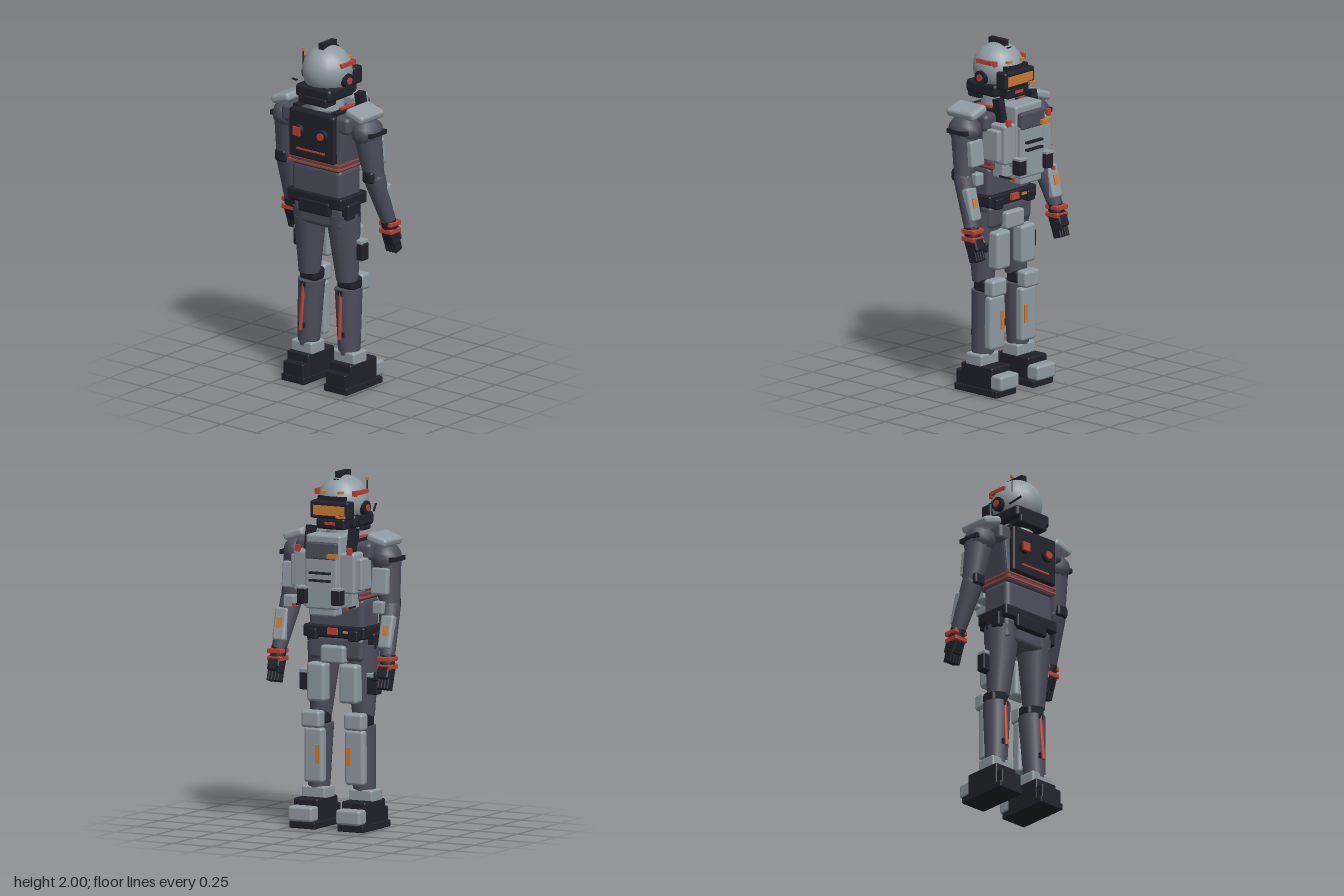
import * as THREE from 'three';
import { RoundedBoxGeometry } from 'three/addons/geometries/RoundedBoxGeometry.js';

const mat = (name, color) => {
  const m = new THREE.MeshStandardMaterial({ color });
  m.name = name;
  return m;
};

export function createModel() {
  const shell = mat('shellGrey', 0x8f9aa2);
  const suit = mat('suitGrey', 0x4b4d5b);
  const dark = mat('darkRubber', 0x20212b);
  const red = mat('signalRed', 0xb84233);
  const orange = mat('amber', 0xcc7a30);

  const model = new THREE.Group();
  model.name = 'armouredSuit';
  let target = model;
  const V = (x, y, z) => new THREE.Vector3(x, y, z);
  const add = (name, geo, m) => {
    const mesh = new THREE.Mesh(geo, m);
    mesh.name = name;
    target.add(mesh);
    return mesh;
  };
  // Box given by its extents; r rounds the edges
  const box = (name, m, [x0, x1], [y0, y1], [z0, z1], r = 0) => {
    const s = [x1 - x0, y1 - y0, Math.abs(z1 - z0)];
    const mesh = add(name, r ? new RoundedBoxGeometry(...s, 2, r) : new THREE.BoxGeometry(...s), m);
    mesh.position.set((x0 + x1) / 2, (y0 + y1) / 2, (z0 + z1) / 2);
    return mesh;
  };
  // Tapered cylinder from a to b
  const limb = (name, m, a, b, ra, rb, sides = 16) => {
    const d = b.clone().sub(a);
    const mesh = add(name, new THREE.CylinderGeometry(rb, ra, d.length(), sides), m);
    mesh.position.copy(a).add(b).multiplyScalar(0.5);
    mesh.quaternion.setFromUnitVectors(V(0, 1, 0), d.normalize());
    return mesh;
  };
  // Box whose lower end is scaled towards its centre
  const taper = (name, m, xs, ys, zs, kx, kz) => {
    const mesh = box(name, m, xs, ys, zs, 0.03);
    const p = mesh.geometry.attributes.position, h = ys[1] - ys[0];
    for (let i = 0; i < p.count; i++) {
      const t = 0.5 - p.getY(i) / h;
      p.setX(i, p.getX(i) * (1 + (kx - 1) * t));
      p.setZ(i, p.getZ(i) * (1 + (kz - 1) * t));
    }
    mesh.geometry.computeVertexNormals();
    return mesh;
  };
  const part = (name, build) => {
    const g = new THREE.Group();
    g.name = name;
    model.add(g);
    target = g;
    build();
    target = model;
  };
  const bothSides = (fn) => [1, -1].forEach((s) => fn(s, (a, b) => [s * a, s * b]));

  part('head', () => {
    add('helmet', new THREE.SphereGeometry(0.143, 18, 14), shell).position.set(-0.058, 1.836, 0);
    box('crest', dark, [-0.117, 0.003], [1.965, 2], [-0.017, 0.017]);
    limb('neckCollar', shell, V(-0.06, 1.59, 0), V(-0.06, 1.69, 0), 0.1, 0.09);
    box('jawGuard', dark, [-0.195, 0.03], [1.69, 1.765], [-0.125, 0.125], 0.02);
    box('backRim', dark, [-0.2, -0.1], [1.66, 1.71], [-0.1, 0.1], 0.01);
    // Visor with amber lens
    box('visorFrame', dark, [0.03, 0.105], [1.745, 1.845], [-0.122, 0.122], 0.012);
    box('visorLens', orange, [0.1, 0.109], [1.765, 1.82], [-0.1, 0.1]);
    box('brow', dark, [0.03, 0.085], [1.845, 1.87], [-0.085, 0.085]);
    box('respirator', dark, [0.02, 0.095], [1.685, 1.75], [-0.09, 0.09], 0.015);
    box('mouthLight', red, [0.09, 0.1], [1.712, 1.728], [-0.032, 0.032]);
    box('visorLamp', orange, [0.115, 0.127], [1.755, 1.768], [-0.11, -0.055]);
    box('lampMount', dark, [0.09, 0.115], [1.75, 1.77], [-0.1, -0.065]);
    bothSides((s, z) => {
      limb('earCup', dark, V(-0.058, 1.8, s * 0.12), V(-0.058, 1.8, s * 0.155), 0.04, 0.04, 12);
      limb('earLight', red, V(-0.058, 1.8, s * 0.15), V(-0.058, 1.8, s * 0.162), 0.02, 0.02, 12);
      box('sideStripe', red, [-0.1, 0.01], [1.877, 1.9], z(0.115, 0.138));
      box('sideMarker', red, [0.015, 0.03], [1.87, 1.9], z(0.105, 0.132));
      box('browLight', orange, [0.055, 0.08], [1.885, 1.898], z(0.038, 0.068));
      box('crestClip', dark, [0.018, 0.024], [1.955, 1.962], z(0.002, 0.016));
    });
    // Antenna and rear rod on one side
    limb('antenna', dark, V(-0.137, 1.82, -0.11), V(-0.137, 1.95, -0.11), 0.004, 0.004, 8);
    add('antennaTip', new THREE.BoxGeometry(0.015, 0.015, 0.015), orange).position.set(-0.137, 1.952, -0.11);
    limb('rearRod', dark, V(-0.222, 1.8, -0.118), V(-0.152, 1.77, -0.143), 0.006, 0.006, 8);
  });

  part('torso', () => {
    taper('chestBody', suit, [-0.18, 0.065], [1.28, 1.62], [-0.215, 0.215], 0.97, 0.8);
    box('shoulderYoke', suit, [-0.18, 0.065], [1.52, 1.62], [-0.24, 0.24], 0.025);
    box('abdomen', suit, [-0.165, 0.03], [1.1, 1.3], [-0.175, 0.175], 0.03);
    [1.308, 1.336].forEach((y) => box('waistPiping', red, [-0.184, 0.066], [y - 0.005, y + 0.005], [-0.181, 0.181]));
    // Layered chest armour
    box('chestPlate', shell, [0.055, 0.175], [1.31, 1.665], [-0.11, 0.11], 0.015);
    box('breastPlate', shell, [0.15, 0.2], [1.25, 1.55], [-0.1, 0.1], 0.012);
    box('upperChestPanel', suit, [0.15, 0.205], [1.53, 1.625], [-0.097, 0.097], 0.01);
    box('bellyPlate', shell, [0.1, 0.19], [1.21, 1.32], [-0.085, 0.085], 0.012);
    box('nameBar', orange, [0.204, 0.227], [1.54, 1.566], [-0.115, -0.052]);
    [1.455, 1.412].forEach((y) => box('ventSlot', dark, [0.19, 0.222], [y - 0.006, y + 0.006], [-0.065, 0.065]));
    bothSides((s, z) => {
      box('sidePlate', shell, [0.03, 0.168], [1.34, 1.57], z(0.1, 0.195), 0.015);
      box('flankPlate', shell, [0.02, 0.14], [1.36, 1.54], z(0.18, 0.225), 0.01);
      box('lowerRib', shell, [0.04, 0.12], [1.25, 1.34], z(0.08, 0.16), 0.01);
      box('chestPouch', dark, [0.17, 0.23], [1.28, 1.365], z(0.08, 0.138), 0.006);
      box('pouchLid', shell, [0.17, 0.235], [1.365, 1.376], z(0.078, 0.14));
      box('collarLight', red, [0.155, 0.174], [1.56, 1.6], z(0.15, 0.178));
      box('hipMarker', red, [0.198, 0.212], [1.255, 1.275], z(0.158, 0.175));
      box('markerArm', dark, [0.1, 0.198], [1.26, 1.27], z(0.163, 0.17));
      box('shoulderStrap', dark, [0.05, 0.1], [1.56, 1.7], z(0.113, 0.157)).rotation.z = 0.2;
      box('strapBack', dark, [-0.17, 0.06], [1.61, 1.635], z(0.115, 0.155));
      box('sideStripe', red, [-0.1, 0.01], [1.625, 1.645], z(0.115, 0.14));
    });
    // Backpack with two controls
    box('backpack', dark, [-0.205, -0.13], [1.34, 1.62], [-0.162, 0.162], 0.015);
    bothSides((s, z) => {
      limb('packSocket', dark, V(-0.2, 1.5, s * 0.085), V(-0.225, 1.5, s * 0.085), 0.038, 0.034, 12);
      if (s > 0) limb('packKnob', red, V(-0.22, 1.5, 0.085), V(-0.234, 1.5, 0.085), 0.022, 0.022, 12);
      else box('packSwitch', red, [-0.234, -0.22], [1.475, 1.525], z(0.06, 0.11));
    });
    box('packLatch', red, [-0.212, -0.2], [1.39, 1.4], [-0.1, 0.1]);
  });

  part('hips', () => {
    box('pelvis', suit, [-0.155, 0.04], [0.94, 1.08], [-0.175, 0.175], 0.03);
    box('belt', dark, [-0.18, 0.055], [1.07, 1.14], [-0.195, 0.195], 0.012);
    box('buckle', red, [0.05, 0.072], [1.092, 1.128], [-0.03, 0.03]);
    box('beltLight', orange, [0.05, 0.065], [1.102, 1.115], [-0.1, -0.065]);
    box('groinPlate', shell, [0.0, 0.075], [0.93, 1.03], [-0.075, 0.075], 0.015);
    box('rearPouch', dark, [-0.186, -0.12], [1.02, 1.1], [-0.11, 0.11], 0.01);
    bothSides((s, z) => {
      box('beltPouch', dark, [-0.14, -0.03], [1.01, 1.1], z(0.16, 0.215), 0.01);
      box('frontPouch', dark, [0.02, 0.075], [1.06, 1.12], z(0.1, 0.16), 0.008);
    });
  });

  bothSides((s, z) => part(s > 0 ? 'armNear' : 'armFar', () => {
    const shoulder = V(-0.055, 1.53, s * 0.28), elbow = V(-0.03, 1.26, s * 0.312), wrist = V(0.055, 0.99, s * 0.345);
    const ball = add('shoulderJoint', new THREE.SphereGeometry(0.095, 10, 8), suit);
    ball.position.copy(shoulder);
    ball.scale.set(1.05, 0.9, 0.9);
    box('shoulderPad', shell, [-0.16, 0.046], [1.61, 1.66], z(0.2, 0.33), 0.02).rotation.x = s * 0.3;
    box('shoulderClip', dark, [-0.12, 0.02], [1.515, 1.54], z(0.33, 0.362));
    limb('upperArm', suit, shoulder, elbow, 0.082, 0.058);
    box('upperArmPlate', shell, [-0.02, 0.045], [1.33, 1.48], z(0.23, 0.335), 0.012).rotation.z = 0.1;
    add('elbowJoint', new THREE.SphereGeometry(0.062, 12, 8), suit).position.copy(elbow);
    box('elbowCup', dark, [-0.1, -0.03], [1.24, 1.31], z(0.275, 0.35), 0.015);
    box('elbowPlate', shell, [0.0, 0.062], [1.225, 1.295], z(0.25, 0.315), 0.008);
    limb('forearm', suit, elbow, wrist, 0.062, 0.042);
    box('forearmPlate', shell, [0.015, 0.07], [1.03, 1.22], z(0.295, 0.375), 0.015).rotation.z = 0.25;
    box('forearmLight', orange, [0.064, 0.074], [1.11, 1.165], z(0.32, 0.352)).rotation.z = 0.25;
    // Glove
    limb('wristCuff', dark, V(0.05, 1.0, s * 0.345), V(0.07, 0.92, s * 0.348), 0.044, 0.043);
    [0.98, 0.937].forEach((y) => box('cuffBand', red, [0.018, 0.11], [y - 0.014, y + 0.014], z(0.303, 0.392), 0.006));
    box('palm', dark, [0.035, 0.12], [0.86, 0.95], z(0.31, 0.385), 0.012).rotation.z = 0.35;
    for (let i = 0; i < 4; i++) {
      const c = 0.318 + i * 0.02;
      box('finger', dark, [0.06, 0.12], [0.808, 0.885], z(c - 0.008, c + 0.008), 0.006).rotation.z = 0.3;
    }
    box('thumb', dark, [0.085, 0.138], [0.86, 0.91], z(0.298, 0.32), 0.008);
  }));

  bothSides((s, z) => part(s > 0 ? 'legNear' : 'legFar', () => {
    limb('thigh', suit, V(-0.065, 1.03, s * 0.118), V(-0.05, 0.63, s * 0.135), 0.1, 0.062);
    box('thighPlate', shell, [0.0, 0.082], [0.71, 0.93], z(0.045, 0.16), 0.02);
    box('thighPouch', dark, [-0.055, 0.002], [0.76, 0.86], z(0.18, 0.248), 0.008);
    box('thighPouchLid', shell, [-0.06, 0.005], [0.855, 0.88], z(0.18, 0.243), 0.006);
    // Knee
    box('kneeJoint', dark, [-0.075, 0.02], [0.575, 0.65], z(0.075, 0.195), 0.02);
    box('kneePad', shell, [0.005, 0.08], [0.56, 0.657], z(0.075, 0.196), 0.018);
    // Shin
    limb('shin', suit, V(-0.035, 0.58, s * 0.132), V(-0.045, 0.2, s * 0.145), 0.078, 0.062);
    box('shinPlate', shell, [0.0, 0.058], [0.25, 0.56], z(0.07, 0.19), 0.018);
    box('shinLight', orange, [0.054, 0.065], [0.36, 0.465], z(0.085, 0.11));
    limb('calfHose', red, V(-0.105, 0.57, s * 0.132), V(-0.125, 0.3, s * 0.14), 0.011, 0.011, 8);
    box('hoseClip', dark, [-0.12, -0.08], [0.31, 0.34], z(0.12, 0.16));
    box('hoseTopClip', dark, [-0.115, -0.08], [0.55, 0.58], z(0.115, 0.15));
    // Boot
    box('ankleCuff', shell, [-0.105, 0.018], [0.15, 0.225], z(0.077, 0.225), 0.012);
    box('boot', dark, [-0.135, 0.1], [0.03, 0.165], z(0.075, 0.228), 0.01);
    box('heel', dark, [-0.178, -0.12], [0.03, 0.117], z(0.08, 0.222), 0.008);
    box('toeCap', shell, [0.08, 0.17], [0.042, 0.127], z(0.075, 0.228), 0.015);
    box('sole', dark, [-0.18, 0.14], [0, 0.04], z(0.07, 0.235), 0.006);
  }));

  return model;
}
